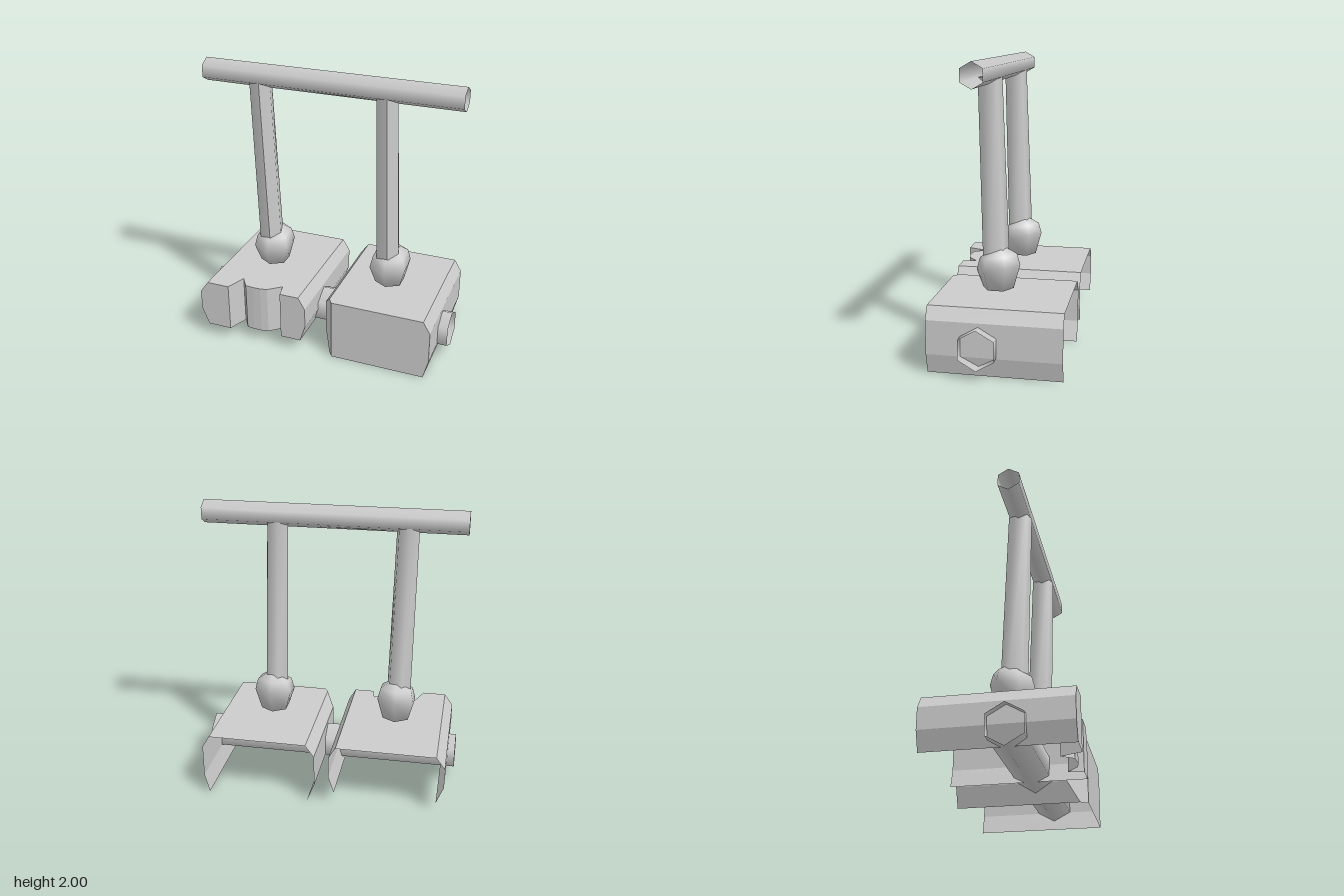
import * as THREE from 'three';

const material = new THREE.MeshStandardMaterial({ color: 0xcccccc, side: THREE.DoubleSide });
const flatMaterial = new THREE.MeshStandardMaterial({ color: 0xcccccc, side: THREE.DoubleSide, flatShading: true });

// Linear interpolation along a list of [x, value] points
function sample(points, x) {
  for (let i = 1; i < points.length; i++) {
    const [x0, v0] = points[i - 1], [x1, v1] = points[i];
    if (x <= x1 + 1e-6) return v0 + (v1 - v0) * (x - x0) / (x1 - x0);
  }
  return points[points.length - 1][1];
}

// Hollow block, open below and behind: bevelled roof and sides plus a front wall
// that follows the plan outline "front" ([x, z] points).
function shell(name, { left, right, low, waist, insetL, insetR, front }) {
  const back = -0.48, top = 0.45, shoulder = 0.365;
  const roofL = left + 0.06, roofR = right - 0.05;
  const breaks = front.map(p => p[0]).filter(x => x > roofL && x < roofR);
  const roof = [roofL, ...breaks, roofR].map(x => [x, top]);
  const profile = [[insetL, low], [left, waist], [left, shoulder], ...roof,
    [right, shoulder], [right, waist], [insetR, low]];
  const upper = [[left, shoulder], [roofL, top], [roofR, top], [right, shoulder]];
  const lower = [[left, waist], [insetL, low], [insetR, low], [right, waist]];
  const pos = [];
  const quad = (a, b, c, d) => pos.push(...a, ...b, ...c, ...a, ...c, ...d);

  // roof and sides
  for (let i = 1; i < profile.length; i++) {
    const [ax, ay] = profile[i - 1], [bx, by] = profile[i];
    quad([ax, ay, back], [ax, ay, sample(front, ax)], [bx, by, sample(front, bx)], [bx, by, back]);
  }
  // front wall in vertical strips
  const xs = [...new Set([left, right, insetL, insetR, roofL, roofR, ...breaks])].sort((a, b) => a - b);
  for (let i = 1; i < xs.length; i++) {
    const at = (x, edge) => [x, sample(edge, x), sample(front, x)];
    quad(at(xs[i - 1], lower), at(xs[i], lower), at(xs[i], upper), at(xs[i - 1], upper));
  }
  const geometry = new THREE.BufferGeometry();
  geometry.setAttribute('position', new THREE.Float32BufferAttribute(pos, 3));
  geometry.computeVertexNormals();
  const mesh = new THREE.Mesh(geometry, flatMaterial);
  mesh.name = name;
  return mesh;
}

// Open six-sided tube lying along x
function bar(name, radius, y, z) {
  const geometry = new THREE.CylinderGeometry(radius, radius, 1.82, 6, 1, true);
  geometry.rotateY(Math.PI / 6).rotateZ(Math.PI / 2).translate(0, y, z);
  const mesh = new THREE.Mesh(geometry, material);
  mesh.name = name;
  return mesh;
}

// Leaning post with a faceted, slightly tilted ball joint at its foot
function post(name, x) {
  const group = new THREE.Group();
  group.name = name;

  const rod = new THREE.CylinderGeometry(0.08, 0.089, 1.26, 6, 1, true);
  rod.rotateY(Math.PI / 12).translate(0, 1.25, 0);
  const rp = rod.attributes.position;
  for (let i = 0; i < rp.count; i++) {
    const t = (rp.getY(i) - 0.62) / 1.26;
    rp.setX(i, rp.getX(i) + x - 0.012 - 0.025 * t);
    rp.setZ(i, rp.getZ(i) + 0.032 + 0.043 * t);
  }
  rod.computeVertexNormals();
  const rodMesh = new THREE.Mesh(rod, material);
  rodMesh.name = 'rod';

  const ball = new THREE.LatheGeometry([[0, 0.48], [0.105, 0.48], [0.149, 0.62], [0.127, 0.70], [0.06, 0.745]]
    .map(([r, y]) => new THREE.Vector2(r, y)), 6);
  const bp = ball.attributes.position;
  for (let i = 0; i < bp.count; i++) {
    if (bp.getY(i) > 0.5) bp.setY(i, bp.getY(i) - 0.16 * bp.getZ(i) + 0.07 * bp.getX(i));
  }
  ball.translate(x, 0, 0.017);
  const ballMesh = new THREE.Mesh(ball, material);
  ballMesh.name = 'ballJoint';

  group.add(rodMesh, ballMesh);
  return group;
}

export function createModel() {
  const model = new THREE.Group();
  model.name = 'handleAssembly';

  model.add(
    // plain block with one cut corner
    shell('leftBlock', {
      left: 0.04, right: 0.84, low: 0, waist: 0.135, insetL: 0.095, insetR: 0.805,
      front: [[0.04, 0.28], [0.13, 0.41], [0.84, 0.41]],
    }),
    // shallower block with a notched front
    shell('rightBlock', {
      left: -0.86, right: -0.06, low: 0.095, waist: 0.22, insetL: -0.81, insetR: -0.10,
      front: [[-0.86, 0.475], [-0.635, 0.475], [-0.58, 0.335], [-0.525, 0.415], [-0.47, 0.42],
        [-0.41, 0.42], [-0.36, 0.41], [-0.27, 0.335], [-0.25, 0.435], [-0.06, 0.435]],
    }),
    bar('axle', 0.135, 0.205, 0.065),
    bar('handleBar', 0.082, 1.918, 0.075),
    post('leftPost', 0.428),
    post('rightPost', -0.47),
  );
  return model;
}
